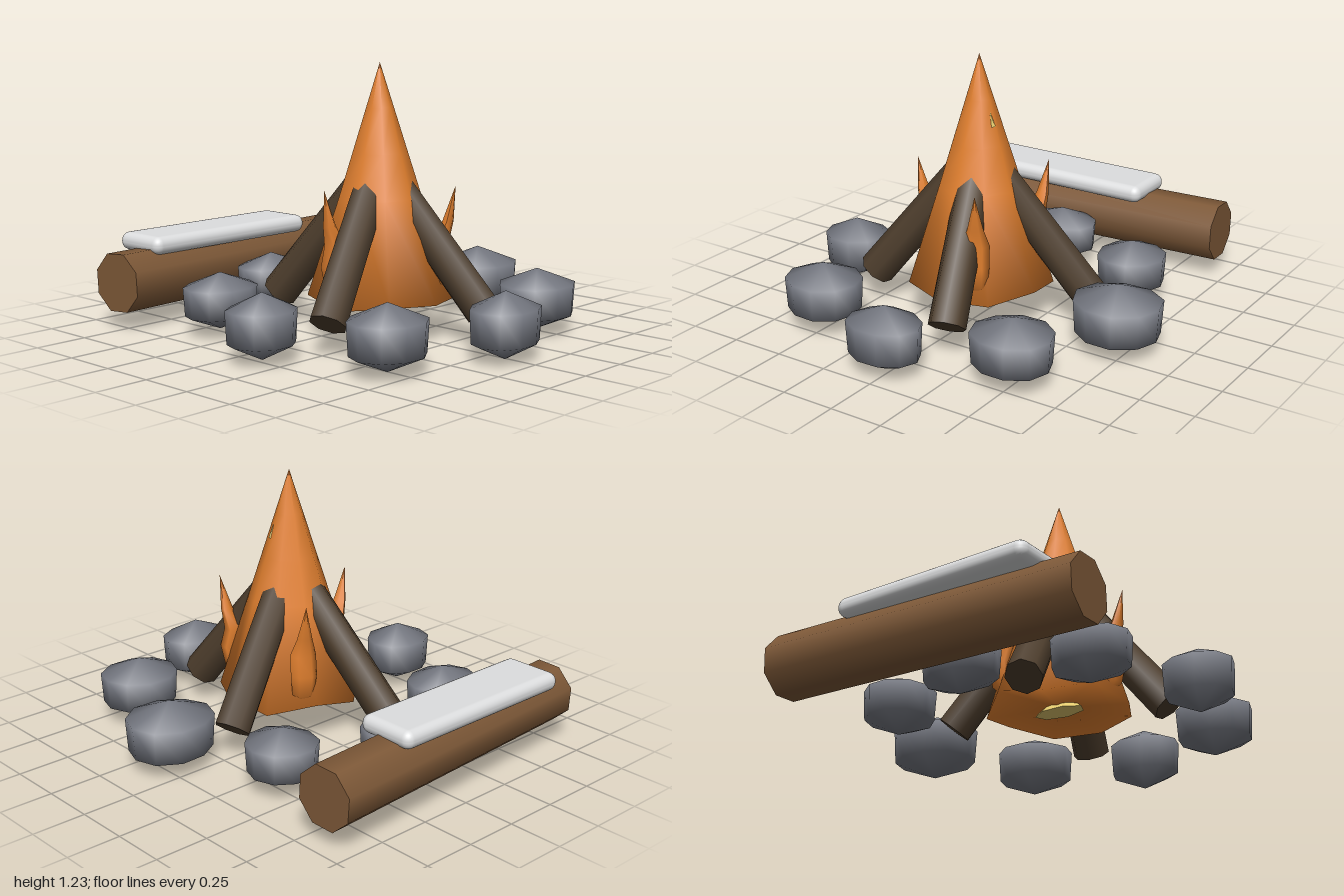
import * as THREE from 'three';
import { RoundedBoxGeometry } from 'three/addons/geometries/RoundedBoxGeometry.js';

const paint = (name, color) => {
  const m = new THREE.MeshStandardMaterial({ color });
  m.name = name;
  return m;
};

export function createModel() {
  const group = new THREE.Group();
  const orange = paint('flame orange', 0xe07f2e);
  const yellow = paint('ember yellow', 0xecd272);
  const darkBark = paint('charred bark', 0x4e3e2d);
  const bark = paint('bark brown', 0x7e5938);
  const stone = paint('stone grey', 0x777a83);
  const cloth = paint('pale cloth', 0xdddedf);
  const CX = -0.025, CZ = 0.14; // centre of the fire

  const add = (name, geometry, material, x = 0, y = 0, z = 0) => {
    const mesh = new THREE.Mesh(geometry, material);
    mesh.name = name;
    mesh.position.set(x, y, z);
    group.add(mesh);
    return mesh;
  };

  // Eight-sided log between two points
  const log = (name, material, a, b, radiusA, radiusB) => {
    const dir = b.clone().sub(a);
    const geo = new THREE.CylinderGeometry(radiusB, radiusA, dir.length(), 8);
    geo.rotateY(Math.PI / 8);
    const mesh = add(name, geo, material);
    mesh.position.copy(a).add(b).multiplyScalar(0.5);
    mesh.quaternion.setFromUnitVectors(new THREE.Vector3(0, 1, 0), dir.normalize());
  };

  // Ring of stones: x, z, half width, half depth, bottom, top
  const stones = [
    [-0.02, -0.57, 0.18, 0.14, 0.035, 0.285],
    [-0.53, -0.365, 0.18, 0.15, 0.03, 0.29],
    [0.48, -0.37, 0.16, 0.165, 0.025, 0.29],
    [-0.745, 0.14, 0.16, 0.145, 0.015, 0.305],
    [0.69, 0.14, 0.205, 0.185, 0.005, 0.31],
    [-0.53, 0.65, 0.18, 0.165, 0.015, 0.305],
    [0.48, 0.65, 0.185, 0.17, 0.02, 0.3],
    [-0.025, 0.86, 0.175, 0.14, 0.01, 0.305],
  ];
  stones.forEach(([x, z, hx, hz, y0, y1], i) => {
    const geo = new THREE.SphereGeometry(1, 10, 3);
    const p = geo.attributes.position;
    // Slightly uneven rings, the lower one narrower
    for (let k = 0; k < p.count; k++) {
      const angle = Math.atan2(p.getZ(k), p.getX(k));
      const ring = p.getY(k) < 0 ? 0.95 : 1;
      const s = (ring / 0.866) * (1 + 0.02 * Math.sin(3 * angle + i));
      p.setXYZ(k, p.getX(k) * s, p.getY(k), p.getZ(k) * s);
    }
    const mesh = add('stone', geo, stone, x, (y0 + y1) / 2, z);
    mesh.scale.set(hx, (y1 - y0) / 2, hz);
  });

  // Four leaning fire logs
  [[0.3, 0.95], [0.95, -0.3], [-0.3, -0.95], [-0.95, 0.3]].forEach(([dx, dz]) => {
    const at = (r, y) => new THREE.Vector3(CX + dx * r, y, CZ + dz * r);
    log('fireLog', darkBark, at(0.51, 0.15), at(0.085, 0.675), 0.085, 0.08);
  });

  // Main flame: pointed top and flared skirt with a closed, uneven underside
  const v2 = (x, y) => new THREE.Vector2(x, y);
  const tip = new THREE.CylinderGeometry(0, 0.19, 0.6, 9, 3, true);
  add('flameTip', tip, orange, CX, 0.93, CZ + 0.005);
  const skirt = new THREE.LatheGeometry([v2(0, 0.2), v2(0.335, 0.175), v2(0.19, 0.63)], 9);
  const sp = skirt.attributes.position;
  for (let k = 0; k < sp.count; k++) {
    if (sp.getY(k) < 0.18) {
      const angle = Math.atan2(sp.getZ(k), sp.getX(k));
      sp.setY(k, 0.18 + 0.025 * Math.sin(4 * angle));
    }
  }
  add('flameSkirt', skirt, orange, CX, 0, CZ + 0.005);

  // Inner ember: a strip under the skirt and a sliver near the tip
  const ember = add('emberCore', new THREE.ConeGeometry(0.13, 0.1, 7), yellow, CX, 0.225, CZ);
  ember.scale.set(1, 1, 0.5);
  const sliver = add('emberSliver', new THREE.ConeGeometry(0.012, 0.07, 5), yellow, 0.055, 0.95, 0.17);
  sliver.rotation.z = 0.25;

  // Three small curling side flames
  const curl = [0.262, 0.285, 0.3, 0.278, 0.315, 0.348];
  const girth = [0, 0.05, 0.06, 0.06, 0.035, 0];
  const height = [0.2, 0.25, 0.35, 0.44, 0.53, 0.69];
  [Math.PI / 3, -Math.PI / 3, Math.PI].forEach((angle) => {
    const geo = new THREE.LatheGeometry(girth.map((g, i) => v2(g, height[i])), 6);
    const p = geo.attributes.position;
    for (let k = 0; k < p.count; k++) {
      const row = k % height.length;
      p.setX(k, p.getX(k) * 0.75 + curl[row]);
    }
    geo.computeVertexNormals();
    add('sideFlame', geo, orange, CX, 0, CZ).rotation.y = -angle;
  });

  // Bench log with a folded blanket on top
  log('benchLog', bark, new THREE.Vector3(-0.795, 0.22, -0.772),
    new THREE.Vector3(0.697, 0.22, -0.867), 0.144, 0.144);
  add('blanket', new RoundedBoxGeometry(0.96, 0.085, 0.285, 3, 0.04), cloth, -0.148, 0.372, -0.828);

  return group;
}
